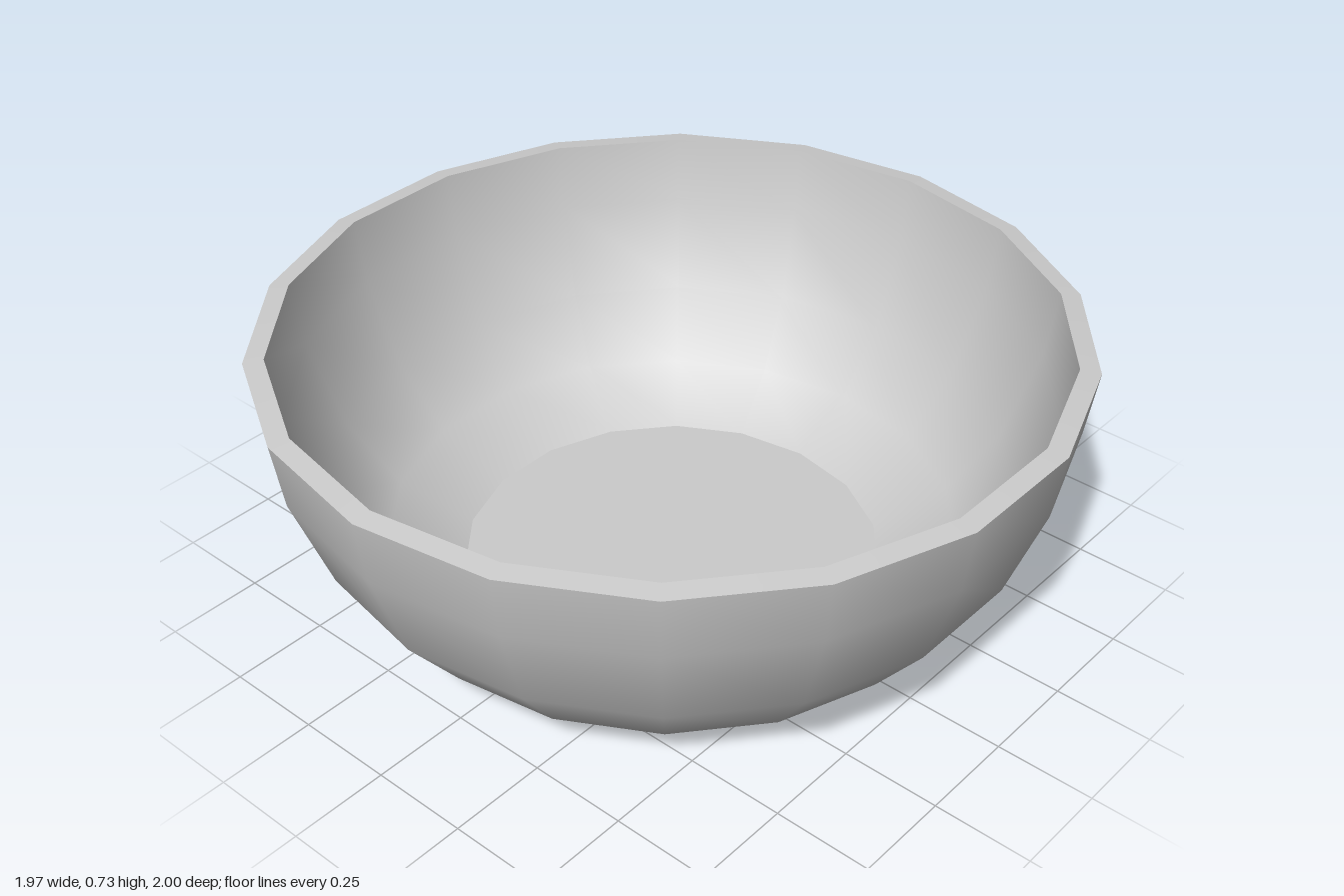
import * as THREE from 'three';

const SIDES = 18;
const material = new THREE.MeshStandardMaterial({ color: 0xcccccc });

// One smooth revolved surface; separate surfaces keep the edges between them sharp
function turned(name, profile) {
  const points = profile.map(([r, y]) => new THREE.Vector2(r, y));
  const mesh = new THREE.Mesh(new THREE.LatheGeometry(points, SIDES), material);
  mesh.name = name;
  return mesh;
}

export function createModel() {
  const bowl = new THREE.Group();
  bowl.name = 'bowl';

  // Wall profiles as [radius, height]
  const outer = [[0.5, 0], [0.745, 0.12], [0.885, 0.3], [0.975, 0.55], [1, 0.72]];
  const inner = [[0.95, 0.727], [0.925, 0.56], [0.838, 0.325], [0.71, 0.165], [0.525, 0.07]];

  bowl.add(
    turned('base', [[0, 0], outer[0]]),
    turned('outerWall', outer),
    turned('rim', [outer[4], inner[0]]),
    turned('innerWall', inner),
    turned('innerFloor', [inner[4], [0, 0.07]]),
  );
  return bowl;
}
